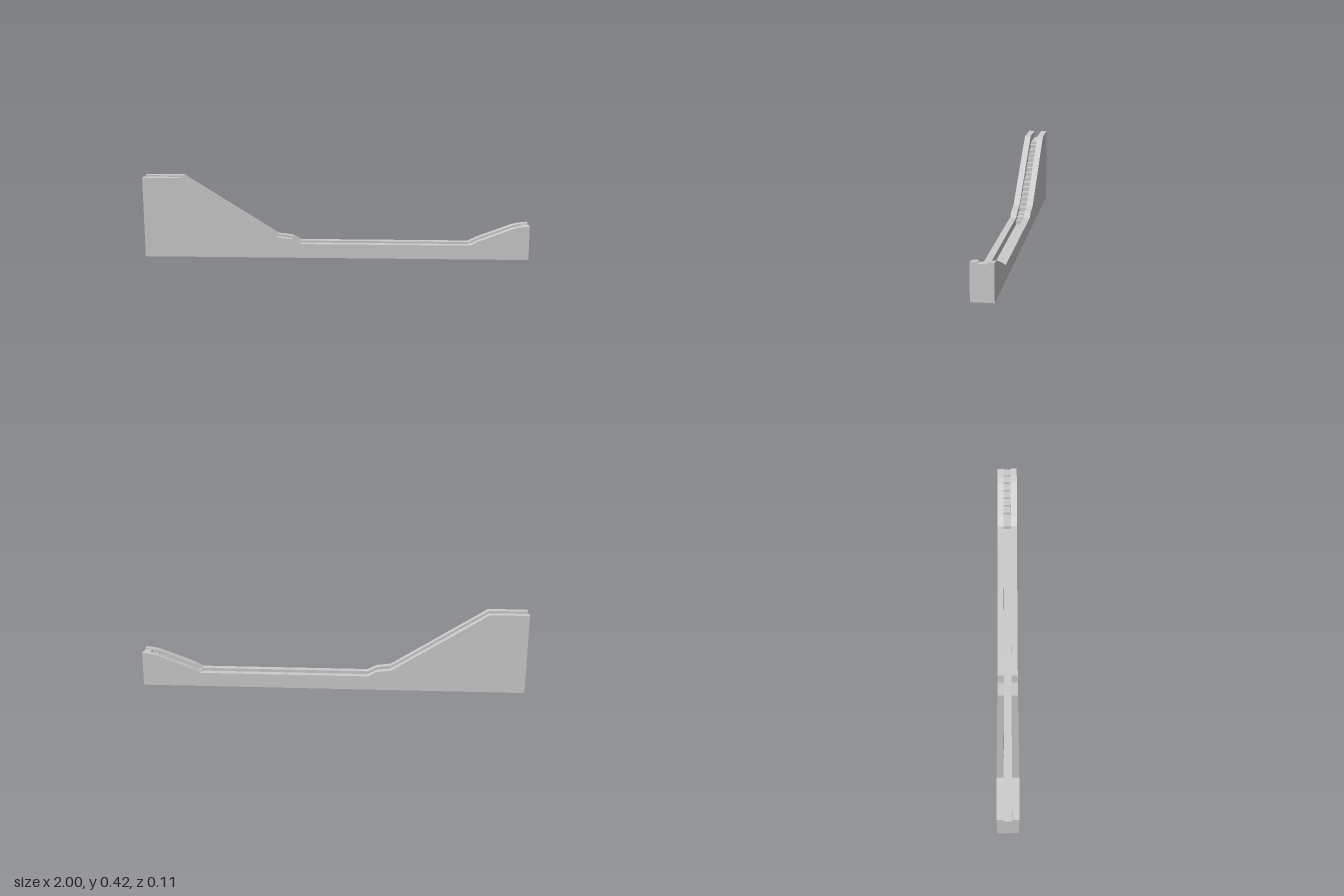
import * as THREE from 'three';

const HALF_WIDTH = 0.054;
const HALF_CHANNEL = 0.02;

// Top edge of the side walls, from -x to +x
const WALL_TOP = [
  [-1, 0.42], [-0.8, 0.42], [-0.305, 0.108], [-0.23, 0.099], [-0.185, 0.074],
  [0.695, 0.074], [0.74, 0.097], [0.92, 0.166], [0.955, 0.174], [1, 0.179],
];

// Riser position and the tread height that follows it
function stairSteps() {
  const steps = [[-0.82, 0.3705]];
  for (let i = 1; i <= 14; i++) steps.push([-0.82 + i * 0.0368, 0.3705 - i * 0.0208]);
  steps.push([-0.257, 0.069], [-0.21, 0.058], [-0.18, 0.037]);
  steps.push([0.695, 0.07]);
  for (let i = 0; i < 6; i++) steps.push([0.77 + i * 0.0385, 0.092 + i * 0.016]);
  return steps;
}

// Turns the steps into a stepped top edge
function stairTop() {
  let height = 0.381;
  const points = [[-1, height]];
  for (const [x, next] of stairSteps()) {
    points.push([x, height], [x, next]);
    height = next;
  }
  points.push([1, height]);
  return points;
}

// Solid slab standing on the ground under a top edge, between two depths
function slab(name, top, zBack, zFront, material) {
  const outline = [[-1, 0], [1, 0], ...[...top].reverse()];
  const shape = new THREE.Shape(outline.map(([x, y]) => new THREE.Vector2(x, y)));
  const geometry = new THREE.ExtrudeGeometry(shape, { depth: zFront - zBack, bevelEnabled: false });
  geometry.translate(0, 0, zBack);
  const mesh = new THREE.Mesh(geometry, material);
  mesh.name = name;
  return mesh;
}

export function createModel() {
  const group = new THREE.Group();
  group.name = 'steppedChannel';
  const material = new THREE.MeshStandardMaterial({ color: 0xcccccc, flatShading: true });

  // Two matching walls with the stepped channel floor between them
  group.add(slab('frontWall', WALL_TOP, HALF_CHANNEL, HALF_WIDTH, material));
  group.add(slab('backWall', WALL_TOP, -HALF_WIDTH, -HALF_CHANNEL, material));
  group.add(slab('channelStairs', stairTop(), -HALF_CHANNEL, HALF_CHANNEL, material));
  return group;
}
